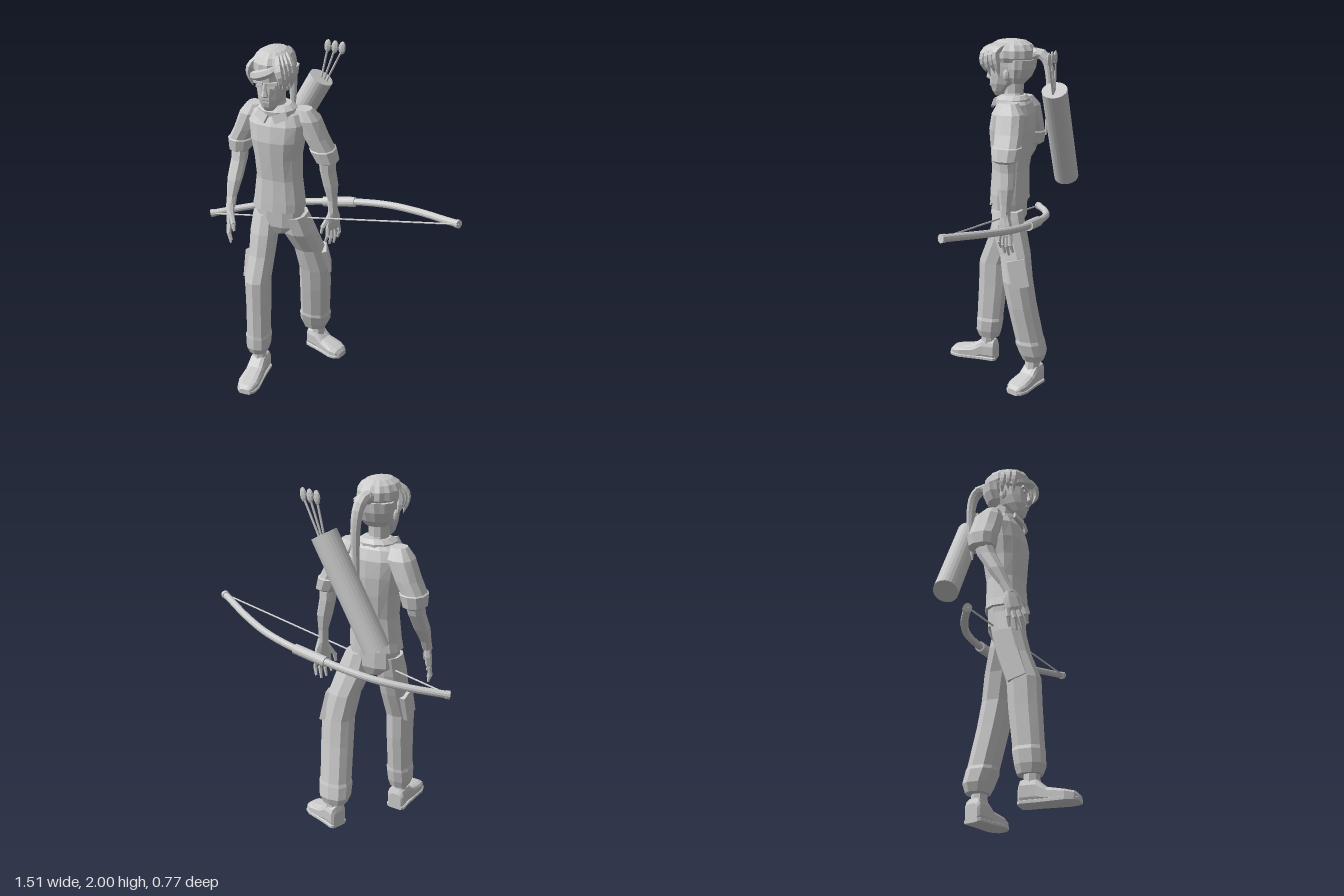
import * as THREE from 'three';

const V = (x, y, z) => new THREE.Vector3(x, y, z);

export function createModel() {
  const root = new THREE.Group();
  root.name = 'archer';
  const clay = new THREE.MeshStandardMaterial({ color: 0xcccccc, flatShading: true, side: THREE.DoubleSide });
  clay.name = 'light grey';

  const add = (name, geo, parent = root) => {
    const m = new THREE.Mesh(geo, clay);
    m.name = name;
    parent.add(m);
    return m;
  };

  // Skin over level rings [cx, y, cz, rx, rz]; e < 1 squares them off, ridge makes grooves
  const loft = (rings, n = 10, e = 0.85, ridge = 0) => {
    const rows = rings[0][1] > rings[rings.length - 1][1] ? [...rings].reverse() : rings;
    const pos = [], idx = [];
    const sp = (v) => Math.sign(v) * Math.pow(Math.abs(v), e);
    for (const [cx, y, cz, rx, rz] of rows) {
      for (let j = 0; j < n; j++) {
        const a = ((j + 0.5) / n) * Math.PI * 2, k = j % 2 ? 1 - ridge : 1;
        pos.push(cx + sp(Math.cos(a)) * rx * k, y, cz + sp(Math.sin(a)) * rz * k);
      }
    }
    const last = rows.length - 1;
    for (let i = 0; i < last; i++) {
      for (let j = 0; j < n; j++) {
        const a = i * n + j, b = i * n + ((j + 1) % n);
        idx.push(a, a + n, b, b, a + n, b + n);
      }
    }
    for (let j = 1; j < n - 1; j++) idx.push(0, j, j + 1, last * n, last * n + j + 1, last * n + j);
    const g = new THREE.BufferGeometry();
    g.setAttribute('position', new THREE.Float32BufferAttribute(pos, 3));
    g.setIndex(idx);
    g.computeVertexNormals();
    return g;
  };

  // Tube along a curve whose radius follows r(t)
  const strand = (pts, r, seg = 12, sides = 6) => {
    const curve = new THREE.CatmullRomCurve3(pts.map((p) => V(...p)));
    const g = new THREE.TubeGeometry(curve, seg, 1, sides);
    const p = g.attributes.position, v = V(0, 0, 0);
    for (let i = 0; i < p.count; i++) {
      const t = Math.floor(i / (sides + 1)) / seg, c = curve.getPointAt(t);
      v.fromBufferAttribute(p, i).sub(c).multiplyScalar(r(t)).add(c);
      p.setXYZ(i, v.x, v.y, v.z);
    }
    g.computeVertexNormals();
    return g;
  };

  // Straight round bar between two points
  const rod = (a, b, r0, r1 = r0, sides = 8) => {
    const A = V(...a), B = V(...b), d = B.clone().sub(A);
    const g = new THREE.CylinderGeometry(r1, r0, d.length(), sides);
    g.applyQuaternion(new THREE.Quaternion().setFromUnitVectors(V(0, 1, 0), d.normalize()));
    return g.translate((A.x + B.x) / 2, (A.y + B.y) / 2, (A.z + B.z) / 2);
  };

  // Shirt, collar and hips
  add('shirt', loft([
    [-0.285, 1.08, -0.025, 0.15, 0.105], [-0.28, 1.13, -0.025, 0.145, 0.103], [-0.28, 1.27, -0.03, 0.128, 0.1],
    [-0.285, 1.4, -0.035, 0.132, 0.116], [-0.285, 1.5, -0.037, 0.15, 0.124], [-0.285, 1.59, -0.045, 0.162, 0.115],
    [-0.285, 1.645, -0.05, 0.135, 0.09], [-0.285, 1.675, -0.05, 0.075, 0.065]], 14, 0.8));
  add('collar', loft([[-0.285, 1.645, -0.035, 0.112, 0.095], [-0.285, 1.67, -0.035, 0.105, 0.098],
    [-0.285, 1.69, -0.045, 0.075, 0.068]], 12, 0.9));
  for (const s of [-1, 1]) {
    const flap = add('collarFlap', new THREE.BoxGeometry(0.075, 0.045, 0.015));
    flap.position.set(-0.285 + s * 0.052, 1.645, 0.058);
    flap.rotation.set(-0.35, s * 0.3, s * 0.45);
  }
  add('hips', loft([[-0.28, 0.93, -0.025, 0.07, 0.07], [-0.28, 0.98, -0.025, 0.135, 0.092],
    [-0.28, 1.1, -0.025, 0.138, 0.095]], 12, 0.8));

  // Trouser legs
  add('rightLeg', loft([
    [-0.36, 1.04, -0.015, 0.07, 0.08], [-0.362, 0.93, 0.015, 0.077, 0.092], [-0.367, 0.8, 0.048, 0.071, 0.09],
    [-0.377, 0.65, 0.103, 0.072, 0.092], [-0.376, 0.5, 0.11, 0.068, 0.09], [-0.375, 0.29, 0.127, 0.066, 0.083],
    [-0.375, 0.27, 0.128, 0.073, 0.085], [-0.376, 0.2, 0.135, 0.069, 0.08], [-0.376, 0.155, 0.133, 0.055, 0.063]], 10, 0.8));
  add('leftLeg', loft([
    [-0.2, 1.04, -0.035, 0.075, 0.09], [-0.177, 0.93, -0.055, 0.092, 0.1], [-0.14, 0.8, -0.105, 0.085, 0.088],
    [-0.113, 0.65, -0.13, 0.09, 0.085], [-0.12, 0.5, -0.155, 0.09, 0.082], [-0.137, 0.29, -0.197, 0.087, 0.08],
    [-0.138, 0.27, -0.2, 0.094, 0.084], [-0.145, 0.2, -0.22, 0.09, 0.078], [-0.148, 0.155, -0.222, 0.07, 0.062]], 10, 0.8));
  const pocket = (name, x, y, z, rx, ry, rz) => {
    const m = add(name, new THREE.BoxGeometry(0.03, 0.16, 0.1));
    m.position.set(x, y, z);
    m.rotation.set(rx, ry, rz);
  };
  pocket('leftPocket', -0.047, 0.71, -0.15, 0.2, 0.35, 0.12);
  pocket('rightPocket', -0.44, 0.72, 0.065, -0.3, 0, 0);

  // Shoes run along their own z axis from the heel
  const shoe = (name, x, z, yaw, len) => {
    const foot = new THREE.Group();
    foot.name = name;
    const h = [[0, 0.04, 0.1], [0.04, 0.052, 0.13], [0.3, 0.052, 0.13], [0.48, 0.055, 0.085],
      [0.78, 0.062, 0.066], [0.93, 0.05, 0.055], [1, 0.03, 0.035]];
    add('shoeBody', loft(h.map(([t, w, y]) => [0, t * len, -y / 2, w, y / 2]), 12, 0.6).rotateX(Math.PI / 2), foot);
    add('sole', loft(h.map(([t, w]) => [0, t * len, -0.012, w + 0.005, 0.012]), 12, 0.4).rotateX(Math.PI / 2), foot);
    add('ankle', rod([0, 0.09, 0.06], [0, 0.2, 0.058], 0.046, 0.04), foot);
    foot.position.set(x, 0, z);
    foot.rotation.y = yaw;
    root.add(foot);
  };
  shoe('rightShoe', -0.37, 0.082, 0, 0.3);
  shoe('leftShoe', -0.185, -0.24, 1.22, 0.255);

  // Sleeves, with a turned cuff
  for (const s of [-1, 1]) {
    const X = (d) => -0.285 + s * d, k = s > 0 ? 0 : 0.02;
    add(s > 0 ? 'leftSleeve' : 'rightSleeve', loft([
      [X(0.14), 1.665, -0.065, 0.045, 0.045], [X(0.16), 1.61, -0.075, 0.07, 0.078], [X(0.205), 1.51, -0.08, 0.065, 0.08],
      [X(0.24), 1.445, -0.082, 0.064, 0.077], [X(0.241), 1.44, -0.082, 0.072, 0.084],
      [X(0.268 - k), 1.375, -0.08, 0.062, 0.074], [X(0.268 - k), 1.36, -0.08, 0.045, 0.05]], 10));
  }

  // Bare forearms
  add('leftForearm', loft([[-0.02, 1.4, -0.08, 0.046, 0.052], [-0.018, 1.31, -0.088, 0.042, 0.05],
    [-0.002, 1.22, -0.092, 0.04, 0.046], [0.008, 1.13, -0.092, 0.026, 0.03], [0.01, 1.06, -0.09, 0.025, 0.03]], 8));
  add('rightForearm', loft([[-0.53, 1.4, -0.075, 0.046, 0.052], [-0.53, 1.32, -0.05, 0.044, 0.052],
    [-0.537, 1.22, 0.005, 0.042, 0.046], [-0.54, 1.13, 0.052, 0.028, 0.03], [-0.538, 1.07, 0.082, 0.025, 0.03]], 8));

  // Hands: palm, four fingers and a thumb, hanging from the wrist
  const hand = (name, x, y, z, yaw, tilt, side) => {
    const g = new THREE.Group();
    g.name = name;
    add('palm', loft([[0, 0.015, 0, 0.022, 0.026], [0, -0.04, 0, 0.022, 0.045], [0, -0.1, 0, 0.019, 0.05],
      [0, -0.115, 0, 0.014, 0.046]], 8), g);
    for (let i = 0; i < 4; i++) {
      const q = (i - 1.5) * 0.026, len = [0.09, 0.115, 0.11, 0.085][i];
      const mid = [side * 0.004, -0.105 - len * 0.5, q * 1.15], tip = [-side * 0.012, -0.105 - len, q * 1.25];
      add('finger', rod([0, -0.1, q], mid, 0.013, 0.012, 6), g);
      add('fingertip', rod(mid, tip, 0.012, 0.007, 6), g);
    }
    add('thumb', rod([0, -0.03, 0.025], [-side * 0.015, -0.09, 0.066], 0.017, 0.013, 6), g);
    add('thumbTip', rod([-side * 0.015, -0.09, 0.066], [-side * 0.02, -0.13, 0.072], 0.013, 0.008, 6), g);
    g.position.set(x, y, z);
    g.rotation.set(tilt, yaw, 0);
    root.add(g);
  };
  hand('leftHand', 0.012, 1.06, -0.093, -0.5, 0, 1);
  hand('rightHand', -0.537, 1.08, 0.08, 0.5, -0.25, -1);

  // Neck, head and face
  const hx = -0.296;
  add('neck', loft([[-0.285, 1.64, -0.05, 0.062, 0.06], [hx, 1.7, -0.04, 0.052, 0.055], [hx, 1.78, -0.04, 0.055, 0.06]]));
  add('head', loft([
    [hx, 1.68, 0.045, 0.026, 0.025], [hx, 1.705, 0.04, 0.045, 0.045], [hx, 1.75, 0.015, 0.065, 0.083],
    [hx, 1.8, -0.005, 0.076, 0.105], [hx, 1.85, -0.01, 0.08, 0.11], [hx, 1.9, -0.015, 0.08, 0.12],
    [hx, 1.95, -0.03, 0.07, 0.1], [hx, 1.98, -0.035, 0.04, 0.06]], 12, 0.85));
  add('nose', loft([[hx, 1.768, 0.095, 0.016, 0.014], [hx, 1.778, 0.103, 0.019, 0.022],
    [hx, 1.81, 0.1, 0.011, 0.014], [hx, 1.845, 0.098, 0.009, 0.008]], 6));
  add('mouth', new THREE.BoxGeometry(0.042, 0.007, 0.009)).position.set(hx, 1.738, 0.093);
  for (const s of [-1, 1]) {
    const brow = add('brow', new THREE.BoxGeometry(0.055, 0.014, 0.016));
    brow.position.set(hx + s * 0.038, 1.842, 0.092);
    brow.rotation.set(0, s * 0.2, s * 0.1);
    add('eye', new THREE.BoxGeometry(0.032, 0.012, 0.009)).position.set(hx + s * 0.037, 1.822, 0.092);
    const ear = add('ear', new THREE.SphereGeometry(0.032, 8, 6));
    ear.scale.set(0.4, 1, 0.6);
    ear.position.set(hx + s * 0.084, 1.805, -0.02);
  }

  // Hair: ridged crown, back of the head, fringe and side locks
  const hc = -0.29;
  add('hairCrown', loft([
    [hc, 1.875, -0.03, 0.1, 0.12], [hc, 1.9, -0.03, 0.112, 0.136], [hc, 1.94, -0.03, 0.11, 0.135],
    [hc, 1.97, -0.03, 0.092, 0.115], [hc, 1.99, -0.03, 0.06, 0.08], [hc, 1.998, -0.03, 0.02, 0.03]], 28, 1, 0.05));
  add('hairBack', loft([
    [hc, 1.755, -0.065, 0.058, 0.04], [hc, 1.79, -0.075, 0.085, 0.065], [hc, 1.84, -0.085, 0.104, 0.078],
    [hc, 1.89, -0.09, 0.11, 0.08]], 24, 1, 0.05));
  add('fringeBand', strand([[-0.4, 1.85, 0.0], [-0.375, 1.865, 0.06], [-0.32, 1.885, 0.102], [-0.26, 1.91, 0.105],
    [-0.21, 1.945, 0.06]], (t) => 0.008 + 0.02 * Math.sin(Math.PI * t)));
  const lock = (name, pts, w = 0.024) => add(name, strand(pts, (t) => w * Math.sin(Math.PI * (0.15 + 0.84 * t)), 8));
  for (let i = 0; i < 4; i++) {
    const d = i * 0.028;
    lock('leftLock', [[-0.25 + d * 0.35, 1.975, 0.03 - d * 0.6], [-0.215 + d * 0.4, 1.93, 0.105 - d * 0.9],
      [-0.2 + d * 0.3, 1.87, 0.115 - d * 1.1], [-0.215 + d * 0.3, 1.815 - (i % 2) * 0.02, 0.095 - d]]);
  }
  for (let i = 0; i < 3; i++) {
    const d = i * 0.035;
    lock('rightLock', [[-0.36, 1.96, 0.03 - d], [-0.395, 1.91, 0.055 - d], [-0.4, 1.86, 0.05 - d],
      [-0.385, 1.8 + (i % 2) * 0.02, 0.045 - d]], 0.02);
  }
  add('ponytail', strand([[-0.29, 1.91, -0.14], [-0.29, 1.925, -0.185], [-0.285, 1.89, -0.23], [-0.28, 1.8, -0.252],
    [-0.28, 1.65, -0.25], [-0.285, 1.47, -0.233]], (t) => 0.004 + 0.03 * Math.pow(1 - t, 0.6), 16, 8));
  add('hairTie', rod([-0.29, 1.913, -0.15], [-0.29, 1.925, -0.18], 0.036, 0.032, 10));

  // Quiver and arrows
  add('quiver', rod([-0.445, 1.2, -0.317], [-0.138, 1.75, -0.317], 0.07, 0.07, 24));
  for (let i = 0; i < 3; i++) {
    const x = -0.105 + i * 0.043, z = -0.328 + i * 0.006;
    add('arrowShaft', rod([-0.148 + i * 0.012, 1.7, -0.317], [x, 1.92, z], 0.006, 0.006, 6));
    const vane = add('arrowFletching', new THREE.SphereGeometry(1, 8, 6));
    vane.scale.set(0.02, 0.037, 0.011);
    vane.position.set(x, 1.93, z);
    vane.rotation.z = -0.12;
  }

  // Bow lying across the back, its limbs curving forward
  const bowY = (x) => 1.035 + 0.165 * x;
  const bow = [[-0.745, -0.065], [-0.55, -0.16], [-0.35, -0.225], [-0.1, -0.248], [0.1, -0.247], [0.3, -0.215],
    [0.5, -0.135], [0.65, -0.055], [0.745, -0.005]].map(([x, z]) => [x, bowY(x), z]);
  add('bowLimbs', strand(bow, () => 0.02, 40, 12));
  add('bowGrip', rod([-0.1, bowY(-0.1), -0.248], [0.092, bowY(0.092), -0.247], 0.029, 0.029, 16));
  add('bowTip', rod(bow[0], [-0.725, bowY(-0.725), -0.076], 0.023, 0.023, 12));
  add('bowTip', rod(bow[8], [0.727, bowY(0.727), -0.015], 0.023, 0.023, 12));
  add('bowString', rod(bow[0], bow[8], 0.005, 0.005, 6));

  return root;
}
